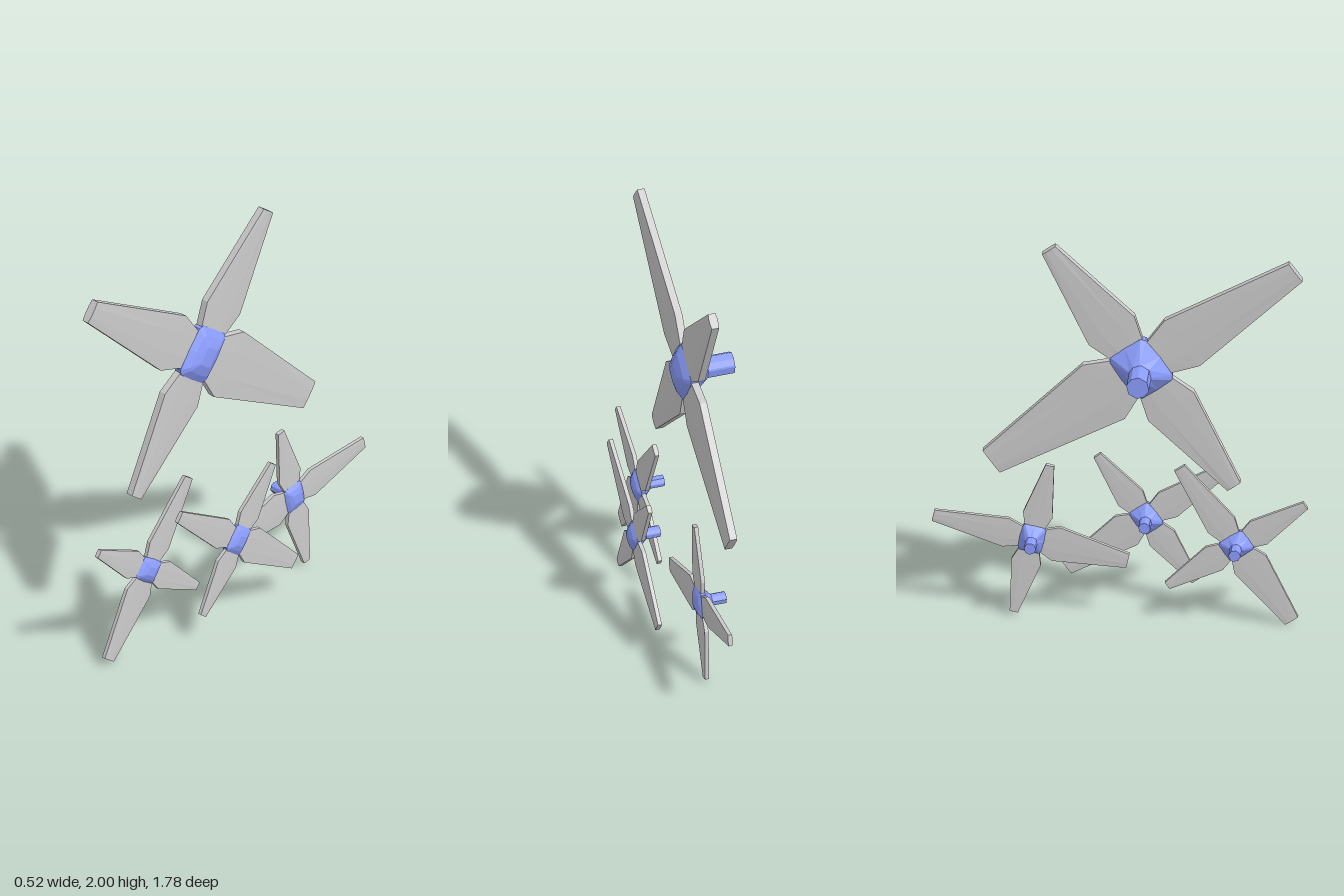
import * as THREE from 'three';

const bladeMat = new THREE.MeshStandardMaterial({ color: 0xcccccc, flatShading: true });
const hubMat = new THREE.MeshStandardMaterial({ color: 0x8c9eff, flatShading: true });

// Skin a list of equal-sized rings and close both ends
function loft(rings) {
  const n = rings[0].length, last = (rings.length - 1) * n, index = [];
  for (let k = 0; k < rings.length - 1; k++) {
    for (let i = 0; i < n; i++) {
      const j = (i + 1) % n, a = k * n, b = a + n;
      index.push(a + i, a + j, b + j, a + i, b + j, b + i);
    }
  }
  for (let i = 1; i < n - 1; i++) {
    index.push(0, i + 1, i, last, last + i, last + i + 1);
  }
  const geo = new THREE.BufferGeometry();
  geo.setAttribute('position', new THREE.Float32BufferAttribute(rings.flat(2), 3));
  geo.setIndex(index);
  const flat = geo.toNonIndexed();
  flat.computeVertexNormals();
  return flat;
}

// Blade along +z: narrow root, wide shoulder, tapering to a blunt tip
function bladeGeometry(root, shoulder, length, wide, tip) {
  const stations = [[root, wide * 0.6], [shoulder, wide], [length, tip]];
  return loft(stations.map(([z, w]) => [
    [0.018, -w, z], [0.021, -w * 0.4, z], [0.021, w * 0.4, z], [0.018, w, z],
    [-0.018, w, z], [-0.021, w * 0.4, z], [-0.021, -w * 0.4, z], [-0.018, -w, z],
  ]));
}

// Hub along x: slim shaft flaring into a chamfered, domed square
function hubGeometry() {
  const quarter = [[0.133, 0], [0.128, 0.088], [0.108, 0.105]];
  const outline = [
    ...quarter, [0, 0.113],
    [-0.108, 0.105], [-0.128, 0.088], [-0.133, 0],
    [-0.128, -0.088], [-0.108, -0.105], [0, -0.113],
    [0.108, -0.105], [0.128, -0.088],
  ];
  const shaft = (x) => outline.map(([y, z]) => {
    const a = Math.atan2(z, y);
    return [x, 0.054 * Math.cos(a), 0.054 * Math.sin(a)];
  });
  const head = (x, s) => outline.map(([y, z]) => [x, y * s, z * s]);
  return loft([
    shaft(-0.23), shaft(-0.097),
    head(-0.02, 1), head(0.02, 1), head(0.045, 0.72), head(0.063, 0.35),
  ]);
}

const hub = hubGeometry();
const shortBlade = bladeGeometry(0.08, 0.24, 0.748, 0.134, 0.038);
const blades = [
  ['longBlade', bladeGeometry(0.07, 0.24, 0.905, 0.143, 0.055)],
  ['shortBladeA', shortBlade],
  ['wideBlade', bladeGeometry(0.07, 0.22, 0.88, 0.17, 0.069)],
  ['shortBladeB', shortBlade],
];

function propeller(name, x, y, z, degrees, scale) {
  const group = new THREE.Group();
  group.name = name;
  const hubMesh = new THREE.Mesh(hub, hubMat);
  hubMesh.name = 'hubAndShaft';
  group.add(hubMesh);
  blades.forEach(([label, geo], i) => {
    const blade = new THREE.Mesh(geo, bladeMat);
    blade.name = label;
    blade.rotation.x = -i * Math.PI / 2;
    group.add(blade);
  });
  group.position.set(x, y, z);
  group.rotation.x = -THREE.MathUtils.degToRad(degrees);
  group.scale.setScalar(scale);
  return group;
}

export function createModel() {
  const model = new THREE.Group();
  model.name = 'propellers';
  model.add(
    propeller('mainPropeller', -0.03, 1.375, 0.114, 36, 1),
    propeller('frontPropeller', 0.063, 0.41, 0.557, 124.2, 0.53),
    propeller('middlePropeller', 0.222, 0.46, 0.117, 36, 0.53),
    propeller('rearPropeller', 0.063, 0.41, -0.413, 167.5, 0.53),
  );
  return model;
}
